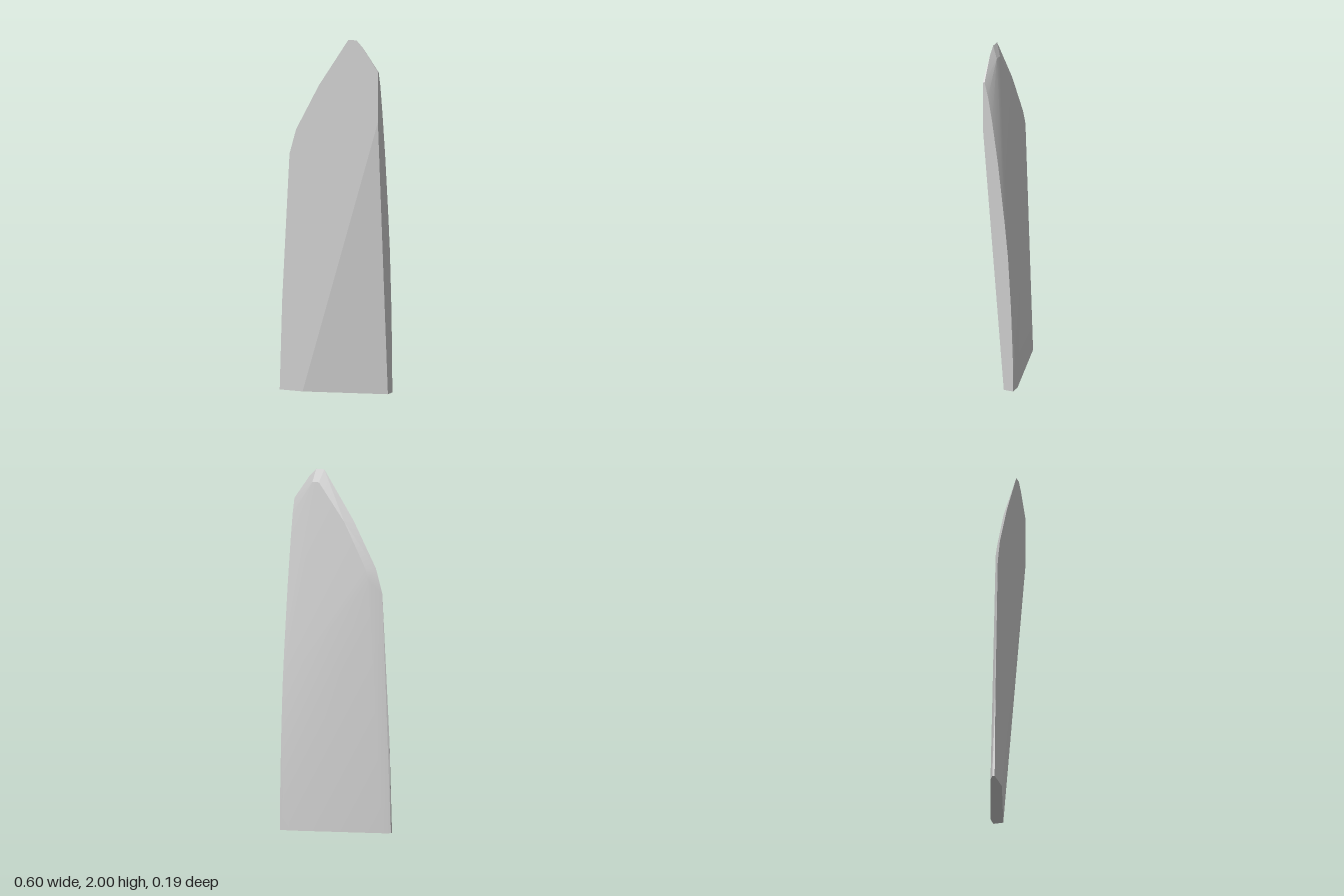
import * as THREE from 'three';
import { ConvexGeometry } from 'three/addons/geometries/ConvexGeometry.js';
import { toCreasedNormals } from 'three/addons/utils/BufferGeometryUtils.js';

const FRONT = 0.093; // plane of the flat front face

export function createModel() {
  const group = new THREE.Group();
  group.name = 'blade';
  const corners = [];
  const add = (z, list) => list.forEach(([x, y, own]) =>
    corners.push(new THREE.Vector3(x, y, own ?? z)));

  // Front outline: thin edge, sloping shoulder and blunt tip
  add(FRONT, [[-0.3, 0], [-0.285, 0.5], [-0.24, 1.33], [-0.2, 1.47], [-0.06, 1.73],
    [0.12, 2], [0.17, 2], [0.21, 1.96], [0.3, 1.83]]);

  // Slanted cut that thins the front towards the lower thick edge
  add(FRONT, [[-0.16, 0], [0.3, 1.55]]);
  add(-0.035, [[0.3, 0]]);

  // Bevelled rim behind the thin edge, shoulder and tip
  add(0.062, [[-0.3, 0, 0.079], [-0.26, 0, 0.057], [-0.17, 1.4, 0.06], [-0.15, 1.47],
    [-0.02, 1.72], [0.14, 1.93, 0.066], [0.18, 1.93, 0.066]]);

  // Curved spine along the thick edge
  add(-0.09, [[0.24, 0], [0.3, 0, -0.092], [0.28, 0.2, -0.093], [0.3, 0.2, -0.09],
    [0.3, 0.5, -0.079], [0.3, 0.8, -0.061], [0.3, 1, -0.041], [0.3, 1.35, 0],
    [0.3, 1.6, 0.036], [0.3, 1.75, 0.062], [0.3, 1.83, 0.083]]);

  const body = new THREE.Mesh(
    toCreasedNormals(new ConvexGeometry(corners), 0.22),
    new THREE.MeshStandardMaterial({ color: 0xcccccc }));
  body.name = 'bladeBody';
  group.add(body);
  return group;
}
